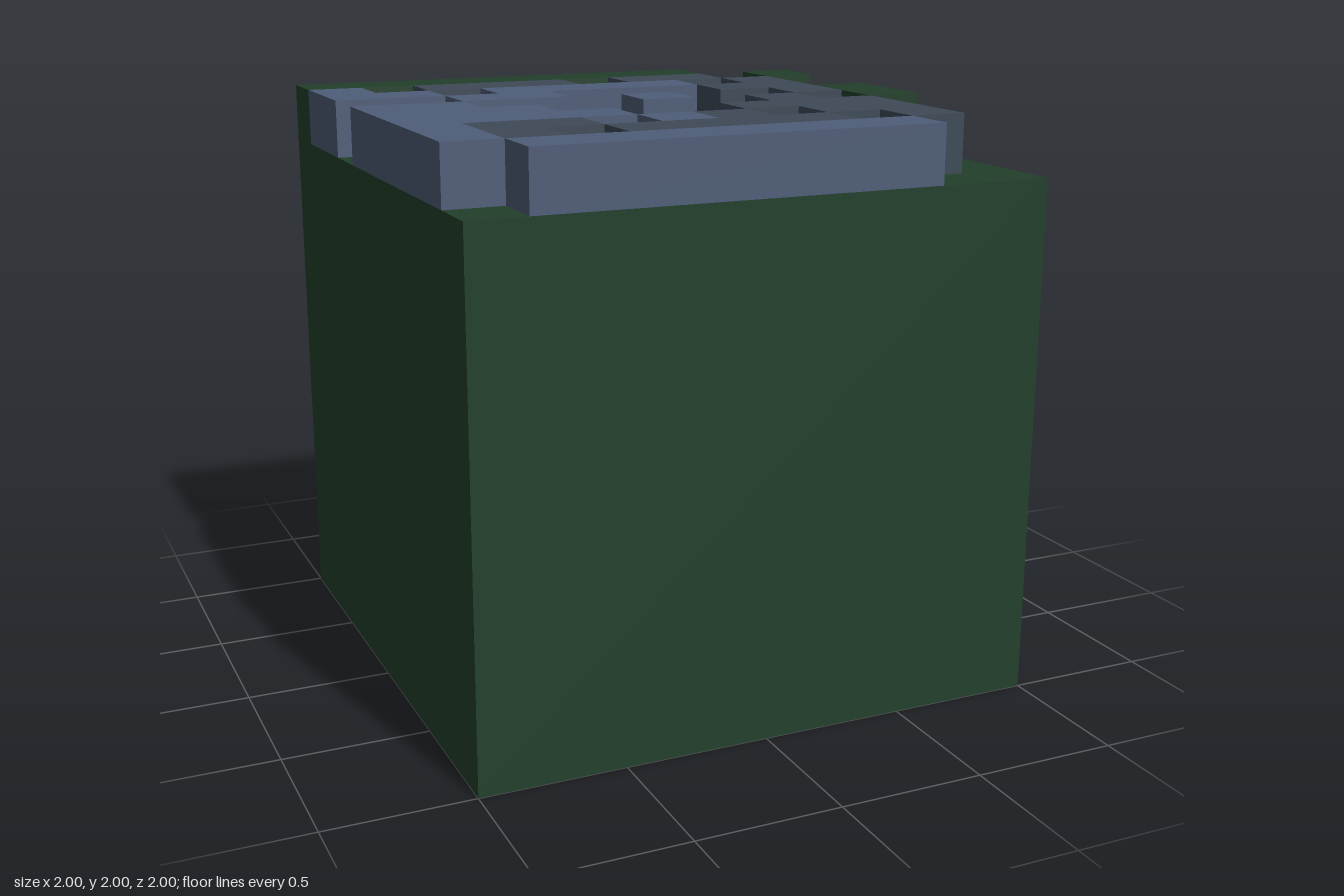
import * as THREE from 'three';
import { mergeGeometries } from 'three/addons/utils/BufferGeometryUtils.js';

const CELL = 0.2;
const BASE = 1.8;

// Raised cells on a 10 x 10 grid, back row first, left column at -x.
// G = green, B = blue, S = slate, . = level with the ground
const MAP = [
  'GGGGGGGG..',
  'B.SSS.SS.G',
  'BB.BBBB.S.',
  '..BB...SS.',
  'BB...B..SG',
  'BBB....S.G',
  'BBBB..SSS.',
  'BSS.BS.SS.',
  'BS.SSSS.S.',
  '.BBBBBBB..',
];

function material(name, color) {
  const m = new THREE.MeshStandardMaterial({ color });
  m.name = name;
  return m;
}

// One box for each unbroken run of a letter along a row
function raisedBlocks(letter) {
  const boxes = [];
  MAP.forEach((row, j) => {
    for (const run of row.matchAll(new RegExp(`${letter}+`, 'g'))) {
      const width = run[0].length * CELL;
      const box = new THREE.BoxGeometry(width, CELL, CELL);
      box.translate(-1 + run.index * CELL + width / 2, BASE + CELL / 2, -1 + (j + 0.5) * CELL);
      boxes.push(box);
    }
  });
  return mergeGeometries(boxes);
}

export function createModel() {
  const group = new THREE.Group();
  group.name = 'terrainBlock';
  const green = material('dark green', 0x22402b);
  const blue = material('dusty blue', 0x4f5d78);
  const slate = material('slate', 0x3e4a57);

  const add = (name, geometry, mat) => {
    const mesh = new THREE.Mesh(geometry, mat);
    mesh.name = name;
    group.add(mesh);
  };

  // Solid ground block
  add('ground', new THREE.BoxGeometry(2, BASE, 2).translate(0, BASE / 2, 0), green);

  // Raised top layer
  add('greenBlocks', raisedBlocks('G'), green);
  add('blueBlocks', raisedBlocks('B'), blue);
  add('slateBlocks', raisedBlocks('S'), slate);

  return group;
}
